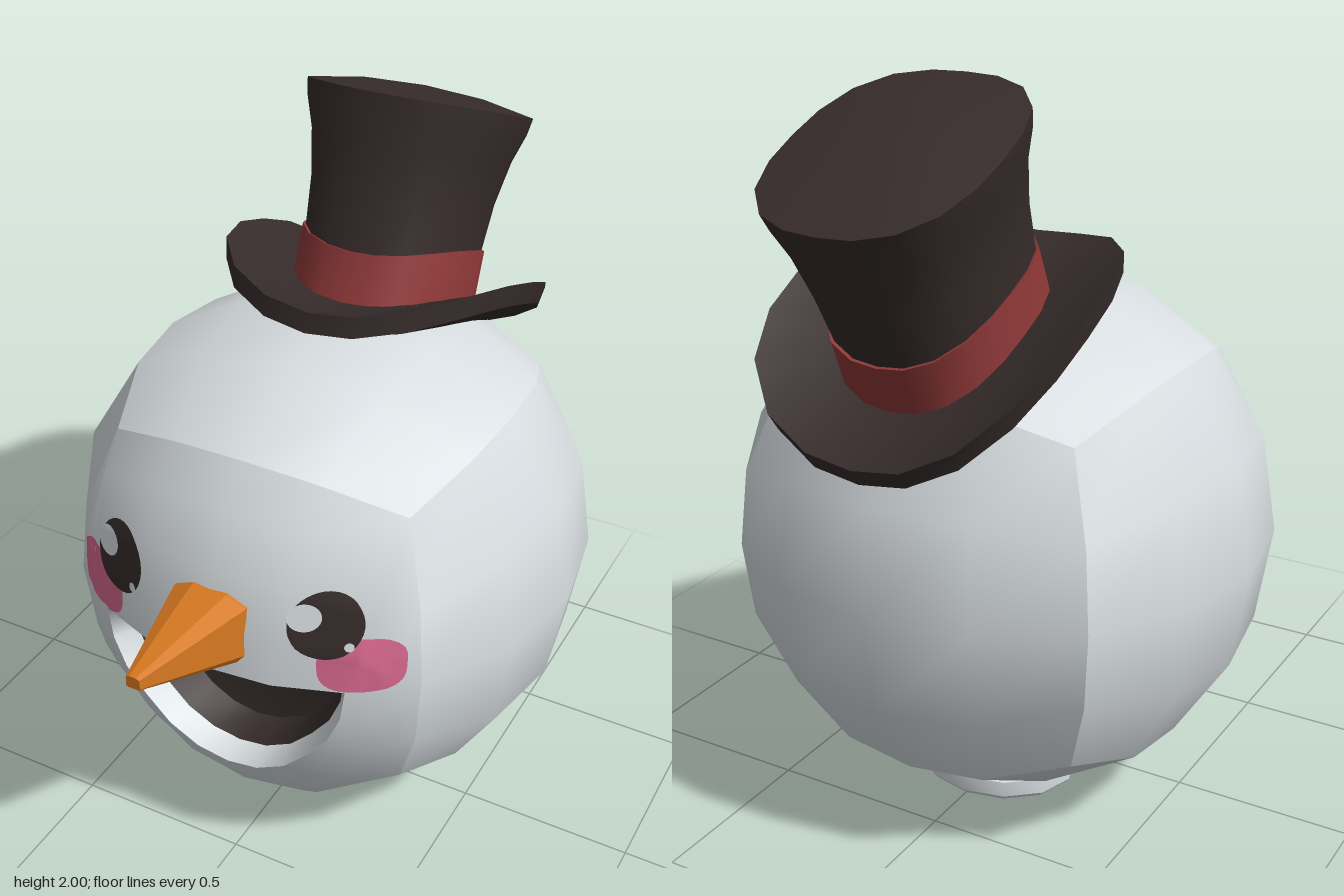
import * as THREE from 'three';
import { toCreasedNormals } from 'three/addons/utils/BufferGeometryUtils.js';

const mat = (name, color) => Object.assign(new THREE.MeshStandardMaterial({ color }), { name });

// Surface through closed rings of [x, y, z] points, all with the same count
function loft(rings, crease) {
  const n = rings[0].length, index = [];
  for (let i = 0; i < rings.length - 1; i++) {
    for (let j = 0; j < n; j++) {
      const k = (j + 1) % n, a = i * n, b = a + n;
      index.push(a + j, a + k, b + k, a + j, b + k, b + j);
    }
  }
  const g = new THREE.BufferGeometry();
  g.setAttribute('position', new THREE.Float32BufferAttribute(rings.flat(2), 3));
  g.setIndex(index);
  g.computeVertexNormals();
  return crease === undefined ? g : toCreasedNormals(g, crease);
}

// Direction to a point on the head: slightly boxy, flatter at top and bottom, with a chin
const BOXY = 2.13;
const onHead = (dir) => {
  const l = dir.reduce((sum, c) => sum + Math.abs(c) ** BOXY, 0) ** (1 / BOXY);
  const [u, v, w] = dir.map((c) => c / l);
  const chin = 0.05 * THREE.MathUtils.clamp((w - v - 1.25) / 0.19, 0, 1);
  return [0.72 * u, 0.76 + 0.73 * v - 0.04 * v ** 7 - chin, -0.1 + 0.71 * w];
};

export function createModel() {
  const model = new THREE.Group();
  model.name = 'snowmanHead';
  const snow = mat('snow', 0xd8dee1), dark = mat('darkBrown', 0x362c2b), red = mat('bandRed', 0x913939);
  const orange = mat('carrotOrange', 0xd67820), pink = mat('cheekPink', 0xde6b92);
  const add = (name, geometry, material, parent = model) => {
    const m = new THREE.Mesh(geometry, material);
    m.name = name;
    parent.add(m);
    return m;
  };

  // Head: a cube blown up to a ball, without its front side
  const ball = new THREE.BoxGeometry(2, 2, 2, 4, 4, 4);
  const p = ball.attributes.position;
  for (let i = 0; i < p.count; i++) {
    p.setXYZ(i, ...onHead([p.getX(i), p.getY(i), p.getZ(i)].map((c) => Math.tan(c * Math.PI / 4))));
  }
  const front = ball.groups[4];
  ball.setIndex([...ball.index.array].filter((_, i) => i < front.start || i >= front.start + front.count));
  ball.clearGroups();
  ball.computeVertexNormals();
  const headShell = add('headShell', ball, snow);

  // Face: rings from the mouth opening out to the edge of the front side
  const edge = [], mouth = [];
  for (let i = 0; i < 16; i++) {
    const t = Math.tan(((i % 4) / 2 - 1) * Math.PI / 4);
    const [x, y] = [[t, 1], [1, -t], [-t, -1], [-1, t]][Math.floor(i / 4)];
    const l = (Math.abs(x) ** BOXY + Math.abs(y) ** BOXY + 1) ** (1 / BOXY);
    edge.push([x / l, y / l, 1 / l]);
    const a = (i - 4) / 12 * Math.PI;
    const [mx, my] = i < 4 ? [-0.36 + 0.18 * i, 0.755] : [0.36 * Math.cos(a), 0.755 - 0.365 * Math.sin(a)];
    const u = mx / 0.72, v = (my - 0.76) / 0.73;
    mouth.push([u, v, (1 - Math.abs(u) ** BOXY - Math.abs(v) ** BOXY) ** (1 / BOXY)]);
  }
  const faceRings = [0, 0.25, 0.5, 0.75, 1].map((s) =>
    mouth.map((m, i) => onHead(m.map((c, k) => c + (edge[i][k] - c) * s))));
  const face = add('face', loft(faceRings), snow);

  // Mouth: bevelled lip and a dark hollow
  const rim = faceRings[0];
  const inset = (s, z) => rim.map((q) => [q[0] * s, 0.57 + (q[1] - 0.57) * s, z(q)]);
  const lip = inset(0.9, (q) => q[2] - 0.07);
  add('lip', loft([lip, rim]), snow);
  add('mouthHollow', loft([inset(0, () => 0.33), inset(0.8, () => 0.36), lip], 0.6), dark);

  // Painted details, laid on the face
  model.updateMatrixWorld(true);
  const ray = new THREE.Raycaster();
  const painted = (name, material, cx, cy, rx, ry, lift, power = 2) => {
    const rings = [0, 0.25, 0.5, 0.75, 1].map((s) => Array.from({ length: 32 }, (_, j) => {
      const a = -j / 32 * Math.PI * 2, c = Math.cos(a), d = Math.sin(a);
      const r = s / (Math.abs(c) ** power + Math.abs(d) ** power) ** (1 / power);
      const x = cx + rx * r * c, y = cy + ry * r * d;
      ray.set(new THREE.Vector3(x, y, 2), new THREE.Vector3(0, 0, -1));
      const hit = ray.intersectObjects([face, headShell], false)[0];
      return [x, y, (hit ? hit.point.z : 0.4) + lift];
    }));
    add(name, loft(rings), material);
  };
  for (const [side, s] of [['left', 1], ['right', -1]]) {
    const ex = 0.305 * s;
    painted(side + 'Cheek', pink, 0.39 * s, 0.84, 0.1, 0.08, 0.005, 3.2);
    painted(side + 'Eye', dark, ex, 0.95, 0.09, 0.092, 0.009);
    painted(side + 'EyeShine', snow, ex - 0.05, 0.972, 0.041, 0.038, 0.013);
    painted(side + 'EyeGlint', snow, ex + 0.062, 0.9, 0.012, 0.012, 0.013);
  }

  // Carrot nose
  const half = [[0.05, 0.99], [0.105, 0.965], [0.11, 0.82], [0.09, 0.792]];
  const section = [...half.map(([x, y]) => [-x, y]), ...half.reverse()];
  const noseRing = (s, z) => section.map(([x, y]) => [x * s, 0.965 + (y - 0.965) * s, z]);
  add('nose', loft([noseRing(1, 0.52), noseRing(1, 0.58), noseRing(0.18, 0.93), noseRing(0, 0.93)], 0.1), orange);

  // Neck ring with a shallow bowl inside
  const profile = [[0, 0.066], [0.09, 0.058], [0.14, 0.038], [0.17, 0.006], [0.215, 0], [0.23, 0.015],
    [0.23, 0.06], [0.215, 0.072], [0.15, 0.08]];
  const neck = add('neckRing', toCreasedNormals(new THREE.LatheGeometry(
    profile.map(([x, y]) => new THREE.Vector2(x, y)), 12), 0.65), snow);
  neck.scale.z = 0.84;
  neck.position.z = -0.16;

  // Top hat, tipped back, with a saddle-shaped brim and a domed top
  const hat = new THREE.Group();
  hat.name = 'topHat';
  hat.position.set(0, 1.32, -0.37);
  hat.rotation.x = -0.4;
  model.add(hat);
  const oval = ([h, a, b, bend = 1]) => Array.from({ length: 20 }, (_, j) => {
    const t = j / 20 * Math.PI * 2, c = Math.cos(t), d = Math.sin(t);
    const r = (Math.abs(c) ** 2.6 + Math.abs(d) ** 2.6) ** (-1 / 2.6);
    const x = a * r * d;
    return [x, h + bend * 0.16 * (x / 0.42) ** 2, b * r * c];
  });
  const hatPart = (name, rows, material) => add(name, loft(rows.map(oval), 0.6), material, hat);
  hatPart('brim', [[-0.03, 0, 0], [-0.03, 0.2, 0.24], [-0.03, 0.32, 0.37], [-0.03, 0.405, 0.47],
    [0.025, 0.415, 0.48], [0.035, 0.32, 0.37], [0.05, 0.2, 0.24]], dark);
  hatPart('hatBand', [[0, 0.232, 0.292], [0.18, 0.23, 0.29], [0.18, 0.215, 0.275]], red);
  hatPart('crown', [[0.1, 0.22, 0.28], [0.18, 0.222, 0.282], [0.32, 0.23, 0.295, 0.8], [0.45, 0.253, 0.31, 0.5],
    [0.54, 0.28, 0.33, 0.25], [0.595, 0.287, 0.34, 0.1], [0.625, 0.15, 0.18, 0.1], [0.635, 0, 0]], dark);
  return model;
}
